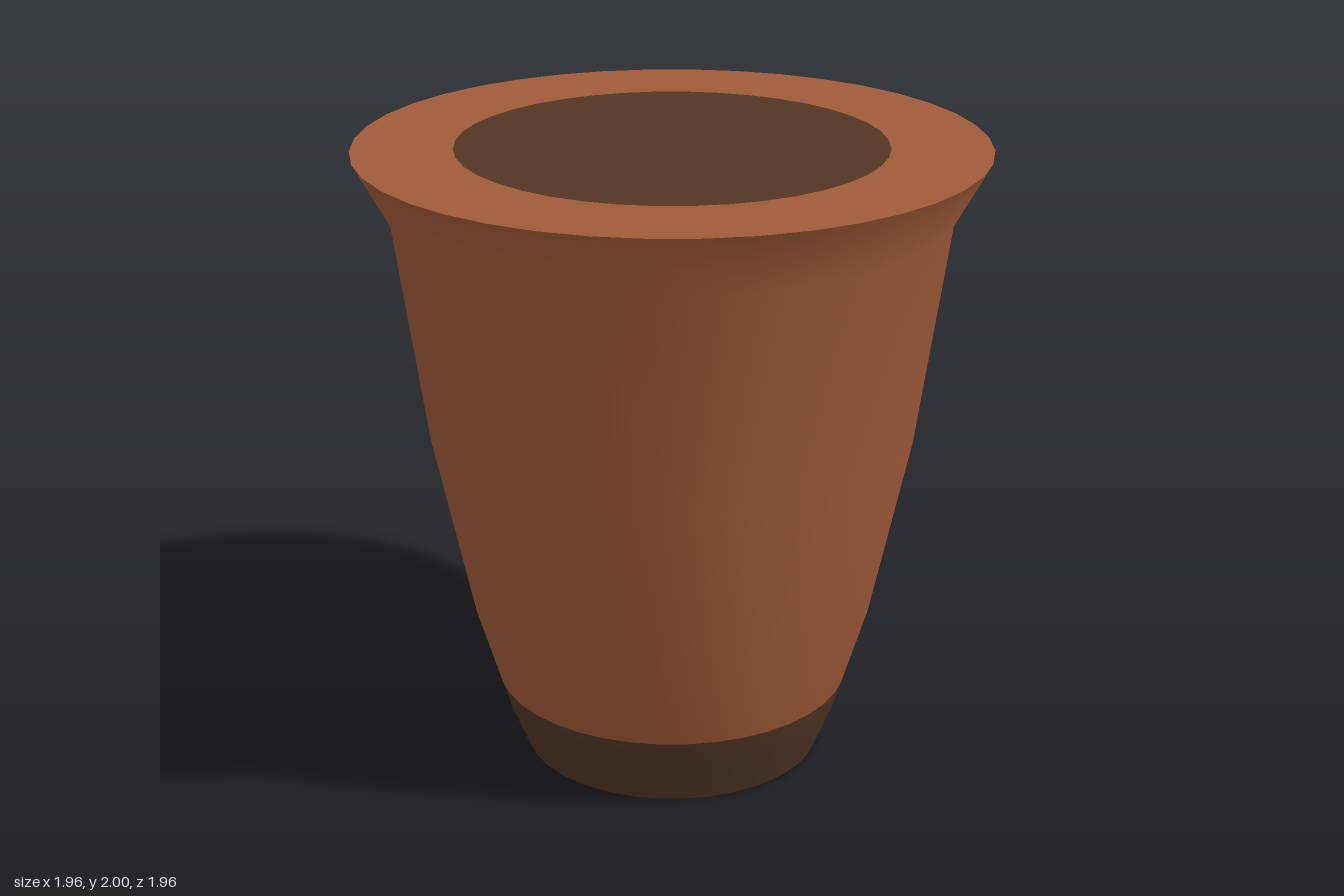
import * as THREE from 'three';

const SIDES = 40;

export function createModel() {
  const clay = new THREE.MeshStandardMaterial({ color: 0xa05b39 });
  clay.name = 'terracotta';
  const dark = new THREE.MeshStandardMaterial({ color: 0x523624 });
  dark.name = 'dark brown';

  const model = new THREE.Group();
  model.name = 'flowerPot';
  const add = (name, geometry, material) => {
    const mesh = new THREE.Mesh(geometry, material);
    mesh.name = name;
    model.add(mesh);
    return mesh;
  };

  // Curved wall from foot to flared rim; the lowest two rings are the dark foot band
  const profile = [
    [0.48, 0], [0.54, 0.15], [0.567, 0.24], [0.645, 0.5],
    [0.77, 1.09], [0.87, 1.8], [0.98, 2],
  ].map(([r, y]) => new THREE.Vector2(r, y));
  const wall = new THREE.LatheGeometry(profile, SIDES);
  const column = (profile.length - 1) * 6;
  const band = 2 * 6;
  for (let i = 0; i < SIDES; i++) {
    wall.addGroup(i * column, band, 1);
    wall.addGroup(i * column + band, column - band, 0);
  }
  add('potWall', wall, [clay, dark]);

  // Flat rim with soil filled level to the top
  const rim = add('rim', new THREE.RingGeometry(0.667, 0.98, SIDES), clay);
  const soil = add('soil', new THREE.CircleGeometry(0.667, SIDES), dark);
  for (const part of [rim, soil]) {
    part.rotation.x = -Math.PI / 2;
    part.position.y = 2;
  }

  // Underside
  const base = add('base', new THREE.CircleGeometry(0.48, SIDES), clay);
  base.rotation.x = Math.PI / 2;

  return model;
}
